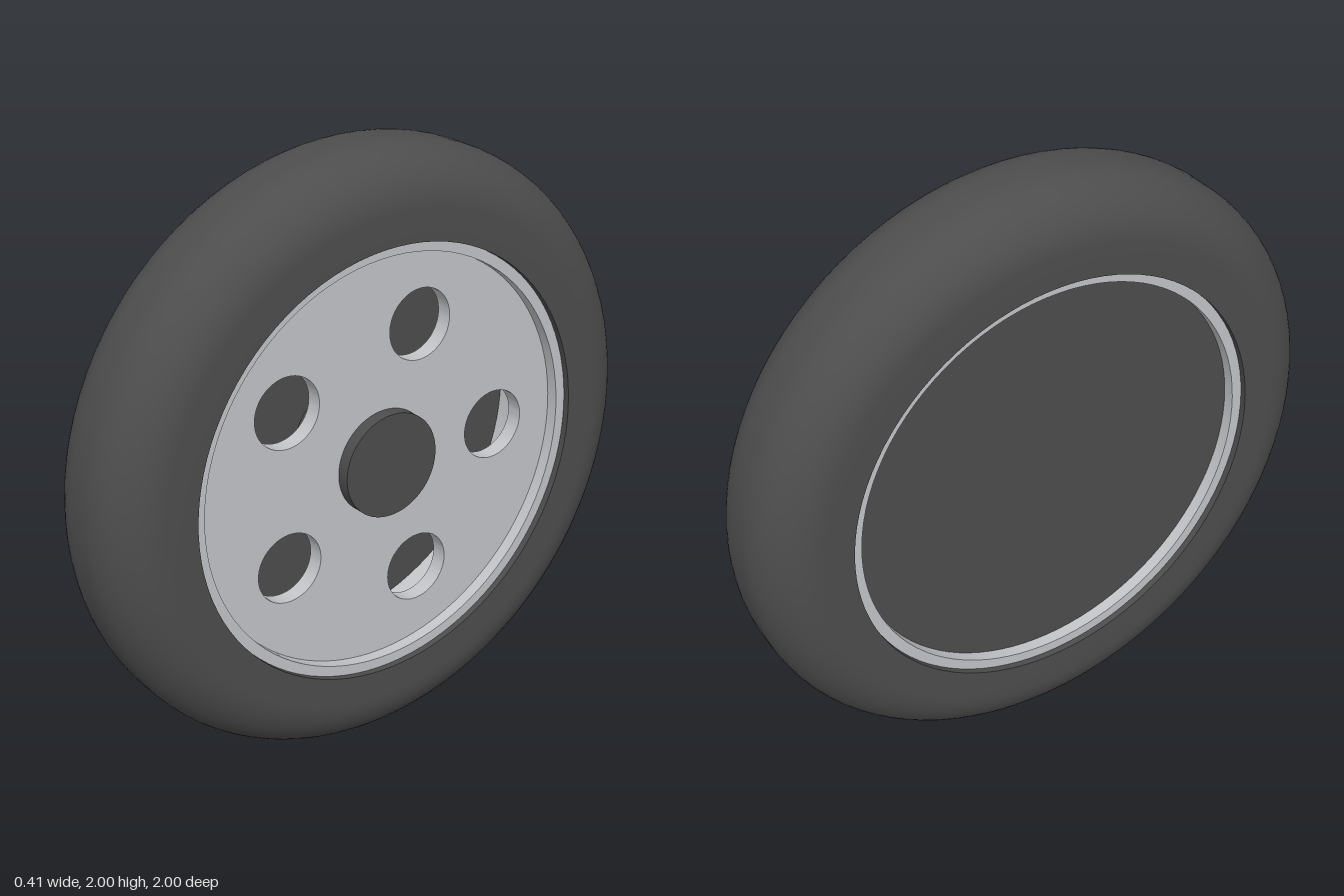
import * as THREE from 'three';
import { toCreasedNormals } from 'three/addons/utils/BufferGeometryUtils.js';

const SEGMENTS = 96;

export function createModel() {
  const wheel = new THREE.Group();
  wheel.name = 'wheel';

  const rubber = new THREE.MeshStandardMaterial({ color: 0x4d4d4d });
  rubber.name = 'dark rubber';
  const metal = new THREE.MeshStandardMaterial({ color: 0xc4c5c9 });
  metal.name = 'light metal';

  const add = (name, geometry, material) => {
    const mesh = new THREE.Mesh(toCreasedNormals(geometry, 0.6), material);
    mesh.name = name;
    wheel.add(mesh);
  };

  // Closed [radius, x] cross-section revolved about the x axle
  const revolve = (points) =>
    new THREE.LatheGeometry(points.map(([r, x]) => new THREE.Vector2(r, x)), SEGMENTS)
      .rotateZ(-Math.PI / 2);

  // Solid disc between two x positions
  const disc = (radius, x0, x1) =>
    new THREE.CylinderGeometry(radius, radius, x1 - x0, SEGMENTS)
      .rotateZ(-Math.PI / 2)
      .translate((x0 + x1) / 2, 0, 0);

  // Tyre: flat sidewalls, rounded shoulders and a narrow flat tread
  const half = 0.207, corner = 0.18, bore = 0.72, steps = 14;
  const section = [[bore, -half]];
  for (const side of [-1, 1]) {
    for (let i = 0; i <= steps; i++) {
      const t = (i / steps) * Math.PI / 2;
      const a = side < 0 ? t - Math.PI / 2 : t;
      section.push([1 - corner + corner * Math.cos(a), side * (half - corner) + corner * Math.sin(a)]);
    }
  }
  section.push([bore, half], [bore, -half]);
  add('tyre', revolve(section), rubber);

  // Rim barrel, set slightly inside the tyre on both sides
  const inner = 0.685, lip = 0.185;
  add('rim', revolve([[bore, -lip], [bore, lip], [inner, lip], [inner, -lip], [bore, -lip]]), metal);

  // Face plate with five round holes
  const face = new THREE.Shape().absarc(0, 0, inner, 0, Math.PI * 2);
  for (let i = 0; i < 5; i++) {
    const a = (i / 5) * Math.PI * 2;
    face.holes.push(new THREE.Path().absarc(0.445 * Math.cos(a), 0.445 * Math.sin(a), 0.117, 0, Math.PI * 2, true));
  }
  const plate = new THREE.ExtrudeGeometry(face, { depth: 0.055, bevelEnabled: false, curveSegments: 48 });
  add('facePlate', plate.rotateY(Math.PI / 2).translate(0.09, 0, 0), metal);

  // Closed back and raised centre hub
  add('backPlate', disc(inner, -0.145, -0.09), rubber);
  add('hub', disc(0.173, -0.09, 0.188), rubber);

  wheel.position.y = 1;
  const model = new THREE.Group();
  model.name = 'model';
  model.add(wheel);
  return model;
}
